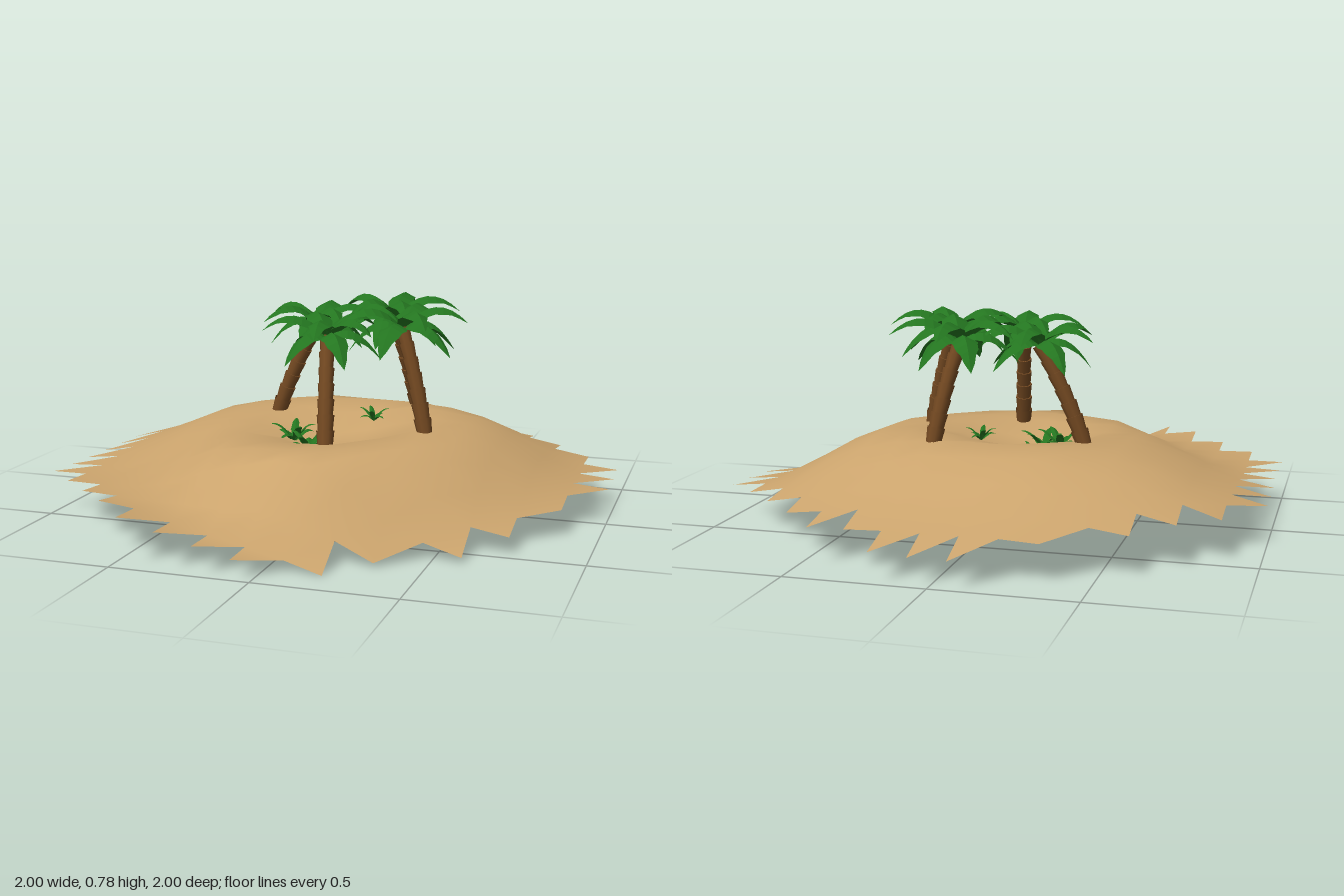
import * as THREE from 'three';
import { mergeGeometries, mergeVertices } from 'three/addons/utils/BufferGeometryUtils.js';

const sandMat = new THREE.MeshStandardMaterial({ color: 0xcba46d, side: THREE.DoubleSide });
sandMat.name = 'sand';
const barkMat = new THREE.MeshStandardMaterial({ color: 0x754a22, side: THREE.DoubleSide });
barkMat.name = 'bark';
const leafMat = new THREE.MeshStandardMaterial({ color: 0x247620, side: THREE.DoubleSide });
leafMat.name = 'leaf green';

// Sand heights: one row per 30 degrees (from +x towards +z), one column per radius
const RADII = [0, 0.16, 0.3, 0.5, 0.6, 0.7, 0.78, 0.88, 1, 1.15];
const HEIGHTS = [
  [0.23, 0.28, 0.34, 0.33, 0.28, 0.23, 0.17, 0.125, 0.12, 0.12],
  [0.23, 0.27, 0.33, 0.32, 0.27, 0.17, 0.09, 0.08, 0.06, 0.05],
  [0.23, 0.26, 0.32, 0.32, 0.25, 0.11, 0.03, -0.06, -0.06, -0.06],
  [0.23, 0.24, 0.31, 0.32, 0.315, 0.19, 0.10, 0.06, 0.06, 0.06],
  [0.23, 0.22, 0.30, 0.31, 0.30, 0.235, 0.185, 0.165, 0.185, 0.215],
  [0.23, 0.22, 0.30, 0.305, 0.27, 0.21, 0.175, 0.165, 0.165, 0.17],
  [0.23, 0.25, 0.32, 0.32, 0.29, 0.25, 0.21, 0.175, 0.15, 0.14],
  [0.23, 0.27, 0.33, 0.33, 0.31, 0.28, 0.24, 0.20, 0.15, 0.14],
  [0.23, 0.28, 0.35, 0.335, 0.29, 0.24, 0.20, 0.165, 0.13, 0.12],
  [0.23, 0.30, 0.355, 0.31, 0.26, 0.20, 0.17, 0.145, 0.10, 0.09],
  [0.23, 0.32, 0.36, 0.325, 0.27, 0.22, 0.19, 0.16, 0.14, 0.12],
  [0.23, 0.31, 0.355, 0.335, 0.30, 0.25, 0.20, 0.16, 0.14, 0.13],
];

function sandHeight(x, z) {
  const r = Math.hypot(x, z);
  const a = ((Math.atan2(z, x) / (Math.PI / 6)) + 12) % 12;
  const i = Math.floor(a) % 12, j = (i + 1) % 12, f = a - Math.floor(a);
  let k = 0;
  while (k < RADII.length - 2 && r > RADII[k + 1]) k++;
  const s = Math.min(1, (r - RADII[k]) / (RADII[k + 1] - RADII[k]));
  const along = row => THREE.MathUtils.lerp(row[k], row[k + 1], s);
  return Math.max(0, THREE.MathUtils.lerp(along(HEIGHTS[i]), along(HEIGHTS[j]), f));
}

// Grid rows of the island: [row, first tooth, first full cell, end of full cells, end of teeth]
const ROWS = [
  [0, 6, 9, 9, 9], [1, 4, 5, 10, 10], [1, 10, 11, 11, 11], [2, 3, 3, 12, 12],
  [3, 2, 2, 13, 13], [4, 1, 1, 14, 14], [5, 0, 1, 14, 15], [6, 0, 1, 14, 15],
  [7, 0, 1, 14, 15], [8, 0, 1, 14, 14], [9, 0, 1, 13, 14], [10, 0, 1, 13, 13],
  [11, 1, 1, 12, 12], [12, 2, 2, 10, 11], [13, 3, 3, 9, 9], [14, 4, 4, 4, 8],
];

function buildSand() {
  const pos = [];
  const put = (c, r) => {
    const x = -1 + c * 2 / 15, z = -1 + r * 2 / 15;
    pos.push(x, sandHeight(x, z), z);
  };
  for (const [r, a, b, c, d] of ROWS) {
    for (let i = a; i < d; i++) {
      if (i >= b) { put(i, r); put(i, r + 1); put(i + 1, r); }
      if (i < c || i < b) { put(i + 1, r); put(i, r + 1); put(i + 1, r + 1); }
    }
  }
  let g = new THREE.BufferGeometry();
  g.setAttribute('position', new THREE.Float32BufferAttribute(pos, 3));
  g = mergeVertices(g, 1e-4);
  g.computeVertexNormals();
  return g;
}

// A folded, pointed frond along +x with a raised midrib
function frond(length, width, lift, droop) {
  const N = 8, pos = [];
  const section = k => {
    const t = k / N, x = length * t, y = lift * t - droop * t * t;
    const w = k === N ? 0 : width * (0.1 + 0.9 * Math.sin(Math.PI * Math.pow(t, 0.75))) * (k % 2 ? 1.04 : 0.94);
    return [[x, y - w * 0.5, -w], [x, y, 0], [x, y - w * 0.5, w]];
  };
  for (let k = 0; k < N; k++) {
    const p = section(k), q = section(k + 1);
    for (let s = 0; s < 2; s++) {
      pos.push(...p[s], ...p[s + 1], ...q[s], ...q[s], ...p[s + 1], ...q[s + 1]);
    }
  }
  const g = new THREE.BufferGeometry();
  g.setAttribute('position', new THREE.Float32BufferAttribute(pos, 3));
  g.computeVertexNormals();
  return g;
}

// Upper fronds arch outward, lower ones hang down
function crown(size, turn) {
  const parts = [];
  for (let i = 0; i < 10; i++) {
    const low = i % 2;
    const g = frond(size * (low ? 0.92 : 1.06) * (1 + 0.07 * Math.sin(i * 2.4 + turn)), size * 0.215,
      size * (low ? 0.75 : 1.35), size * (low ? 1.15 : 1.25));
    g.rotateY(turn + i * Math.PI / 5 + 0.12 * Math.sin(i * 5));
    parts.push(g);
  }
  return mergeGeometries(parts);
}

// Ringed trunk: stacked segments, each flaring upward, along a bent line
function trunk(base, top) {
  const mid = base.clone().lerp(top, 0.5);
  mid.x -= (top.x - base.x) * 0.15;
  mid.z -= (top.z - base.z) * 0.15;
  const curve = new THREE.QuadraticBezierCurve3(base, mid, top);
  const parts = [], N = 7, up = new THREE.Vector3(0, 1, 0);
  for (let i = 0; i < N; i++) {
    const a = curve.getPoint(i / N), b = curve.getPoint((i + 1) / N);
    const dir = b.clone().sub(a), len = dir.length();
    const r = 0.031 - 0.006 * i / N;
    const g = new THREE.CylinderGeometry(r * 1.08, r * 0.9, len * 1.08, 9, 1, i === 0);
    g.applyQuaternion(new THREE.Quaternion().setFromUnitVectors(up, dir.normalize()));
    g.translate((a.x + b.x) / 2, (a.y + b.y) / 2, (a.z + b.z) / 2);
    parts.push(g);
  }
  return mergeGeometries(parts);
}

export function createModel() {
  const model = new THREE.Group();
  model.name = 'palmIsland';
  const add = (parent, name, geometry, material) => {
    const m = new THREE.Mesh(geometry, material);
    m.name = name;
    parent.add(m);
    return m;
  };
  add(model, 'sandIsland', buildSand(), sandMat);

  // Palms: base x, z, then top x, y, z, crown size and turn
  const palms = [
    [-0.32, -0.13, -0.15, 0.68, -0.13, 0.21, 0.3],
    [0.20, -0.32, 0.125, 0.70, -0.225, 0.23, 1.55],
    [0.34, 0.10, 0.235, 0.70, 0.04, 0.225, 0.2],
    [0.03, 0.33, -0.005, 0.68, 0.20, 0.215, 2.2],
  ];
  for (const [bx, bz, tx, ty, tz, size, turn] of palms) {
    const palm = new THREE.Group();
    palm.name = 'palmTree';
    const base = new THREE.Vector3(bx, sandHeight(bx, bz) - 0.01, bz);
    add(palm, 'trunk', trunk(base, new THREE.Vector3(tx, ty, tz)), barkMat);
    add(palm, 'fronds', crown(size, turn), leafMat).position.set(tx, ty, tz);
    model.add(palm);
  }

  // Low plants in the hollow: x, z, size
  const plants = [[-0.18, 0.08, 0.09], [-0.1, 0.14, 0.09], [-0.07, 0.08, 0.05], [0.08, -0.11, 0.06]];
  plants.forEach(([x, z, size], n) => {
    const parts = [];
    for (let i = 0; i < 7; i++) {
      const g = frond(size, size * 0.17, size * (i % 2 ? 1.4 : 1.9), size * 1.1);
      g.rotateY(n + i * Math.PI * 2 / 7);
      parts.push(g);
    }
    add(model, 'smallPlant', mergeGeometries(parts), leafMat).position.set(x, sandHeight(x, z) + 0.005, z);
  });
  return model;
}
